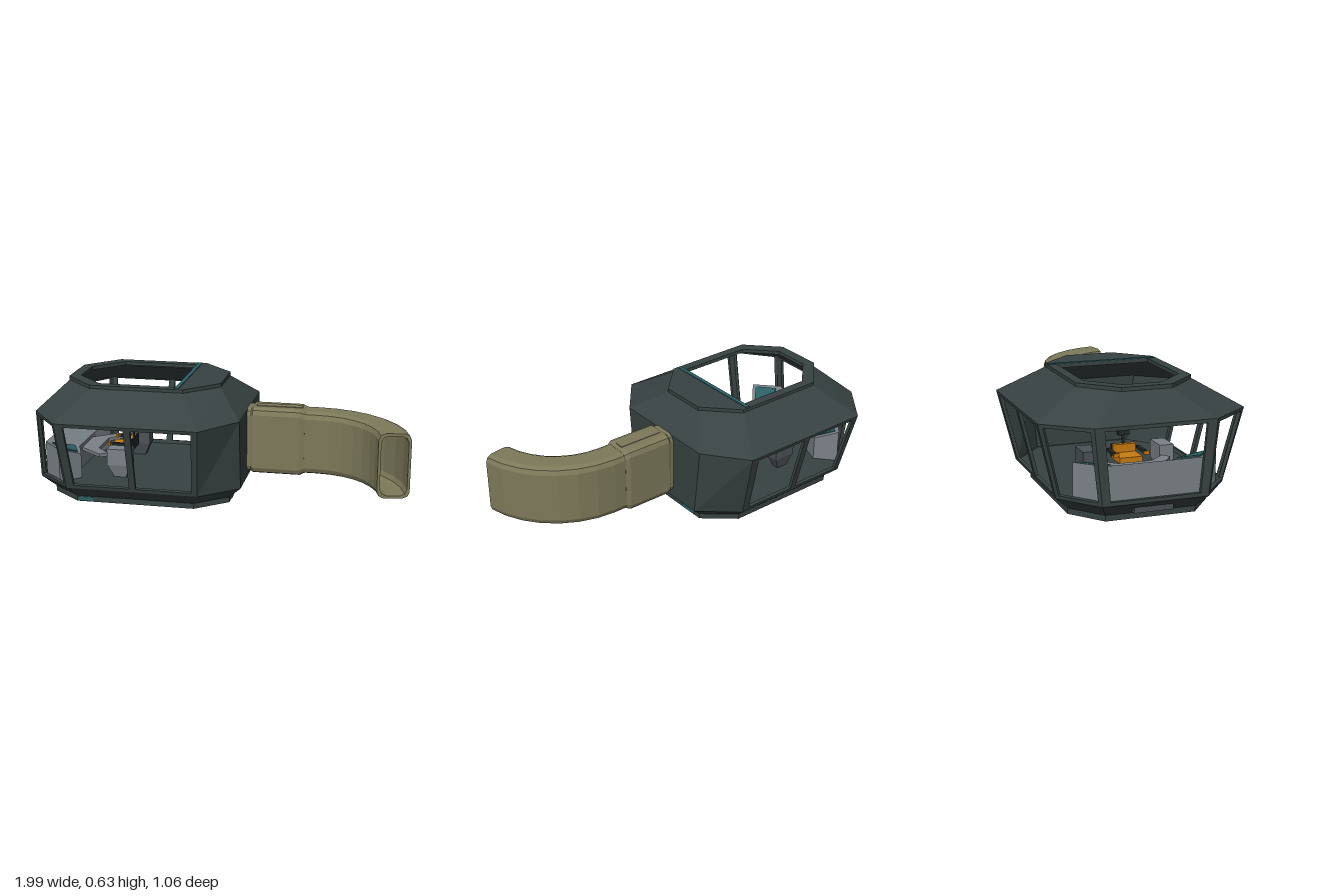
import * as THREE from 'three';

const paint = (name, color, extra = {}) => {
  const m = new THREE.MeshStandardMaterial({ color, flatShading: true, ...extra });
  m.name = name;
  return m;
};
const V = (x, y, z) => new THREE.Vector3(x, y, z);

// Flat triangles from a list of quads (corners counter-clockwise from outside)
function quads(list) {
  const pos = [];
  for (const [a, b, c, d] of list) for (const p of [a, b, c, a, c, d]) pos.push(p.x, p.y, p.z);
  const g = new THREE.BufferGeometry();
  g.setAttribute('position', new THREE.Float32BufferAttribute(pos, 3));
  g.computeVertexNormals();
  return g;
}

// Six-sided block between an outer quad p and an inner quad q
function block(p, q) {
  const list = [p, [q[3], q[2], q[1], q[0]]];
  for (let i = 0; i < 4; i++) {
    const j = (i + 1) % 4;
    list.push([p[i], q[i], q[j], p[j]]);
  }
  return list;
}

// Wall panel made of solid strips [s0, s1, t0, t1] over a four-cornered face
function panel([a, b, c, d], strips, depth) {
  const n = c.clone().sub(a).cross(d.clone().sub(b)).normalize().multiplyScalar(-depth);
  const at = (s, t) => a.clone().lerp(b, s).lerp(d.clone().lerp(c, s), t);
  return strips.flatMap(([s0, s1, t0, t1]) => {
    const p = [at(s0, t0), at(s1, t0), at(s1, t1), at(s0, t1)];
    return block(p, p.map(v => v.clone().add(n)));
  });
}

// Eight-sided ring of the cabin at one height
const CX = -0.4475;
const ring = (y, hx, hz, cx, cz) => [
  [-cx, hz], [cx, hz], [hx, cz], [hx, -cz], [cx, -hz], [-cx, -hz], [-hx, -cz], [-hx, cz],
].map(([x, z]) => V(CX + x, y, z));

// Horizontal slab from [x, z] outline with optional hole
function slab(outline, y, h, hole) {
  const pts = o => o.map(([x, z]) => new THREE.Vector2(x, -z));
  const s = new THREE.Shape(pts(outline));
  if (hole) s.holes.push(new THREE.Path(pts(hole)));
  return new THREE.ExtrudeGeometry(s, { depth: h, bevelEnabled: false }).rotateX(-Math.PI / 2).translate(0, y, 0);
}

export function createModel() {
  const model = new THREE.Group();
  const hull = paint('hull grey', 0x384242);
  const olive = paint('olive tunnel', 0x7d795a, { side: THREE.DoubleSide });
  const teal = paint('teal accent', 0x2a6064);
  const light = paint('light grey', 0x7a8187);
  const mid = paint('mid grey', 0x4b5257);
  const dark = paint('dark trim', 0x222728);
  const orange = paint('orange cushion', 0xc97a10);

  const add = (name, geo, mat, parent = model) => {
    const m = new THREE.Mesh(geo, mat);
    m.name = name;
    parent.add(m);
    return m;
  };
  const box = (name, mat, x, y, z, w, h, d, parent) =>
    add(name, new THREE.BoxGeometry(w, h, d).translate(x, y, z), mat, parent);

  // Cabin shell: lip, lower chamfer, windowed walls, roof slopes
  const rings = [
    ring(0, 0.485, 0.365, 0.32, 0.23),
    ring(0.03, 0.485, 0.365, 0.32, 0.23),
    ring(0.095, 0.5525, 0.435, 0.355, 0.27),
    ring(0.475, 0.5525, 0.53, 0.38, 0.31),
    ring(0.61, 0.415, 0.3, 0.25, 0.128),
  ];
  const names = ['baseLip', 'lowerChamfer', 'windowWalls', 'roofSlopes'];
  const solid = [[0, 1, 0, 1]];
  const rails = [[0, 1, 0, 0.05], [0, 1, 0.95, 1]];
  const twin = [...rails, [0, 0.06, 0.05, 0.95], [0.487, 0.535, 0.05, 0.95], [0.955, 1, 0.05, 0.95]];
  const single = [...rails, [0, 0.08, 0.05, 0.95], [0.92, 1, 0.05, 0.95]];
  const layout = [twin, solid, solid, solid, twin, single, single, single];
  names.forEach((name, r) => {
    const list = [];
    for (let i = 0; i < 8; i++) {
      const j = (i + 1) % 8;
      const face = [rings[r][i], rings[r][j], rings[r + 1][j], rings[r + 1][i]];
      list.push(...panel(face, r === 2 ? layout[i] : solid, 0.018));
    }
    add(name, quads(list), hull);
  });
  const flat = r => r.map(p => [p.x, p.z]);
  add('underside', slab(flat(rings[0]), 0, 0.01), hull);
  add('cabinFloor', slab(flat(ring(0, 0.54, 0.425, 0.35, 0.265)), 0.088, 0.012), hull);

  // Roof plate, open over the seat
  const opening = [[-0.81, 0.1], [-0.66, 0.25], [-0.245, 0.25], [-0.245, -0.25], [-0.66, -0.25], [-0.81, -0.1]];
  add('roofFrame', slab(flat(ring(0, 0.42, 0.3, 0.252, 0.13)), 0.608, 0.02, opening), hull);
  box('roofStripe', teal, -0.232, 0.629, 0, 0.022, 0.006, 0.585);
  for (const [z, d] of [[0.16, 0.045], [-0.135, 0.105]])
    box('lipMarker', teal, 0.039, 0.018, z, 0.007, 0.026, d);
  box('lipMarker', teal, -0.72, 0.016, 0.366, 0.08, 0.02, 0.006);

  // Control console wrapped along the nose, with a thin desk in front
  const stations = [[-0.86, 0.37, -0.77, 0.27], [-0.975, 0.25, -0.82, 0.14],
    [-0.975, -0.25, -0.82, -0.14], [-0.86, -0.37, -0.77, -0.27]]
    .map(([ox, oz, ix, iz]) => [V(ox, 0.1, oz), V(ix, 0.1, iz), V(ix, 0.235, iz), V(ox, 0.285, oz)]);
  const consoleQuads = [], screens = [];
  for (let i = 0; i < 3; i++) {
    const p = stations[i], q = stations[i + 1];
    consoleQuads.push(...block(p, q));
    // Screen lying on the sloping top
    const at = (s, t) => p[2].clone().lerp(q[2], s).lerp(p[3].clone().lerp(q[3], s), t);
    const low = [at(0.12, 0.15), at(0.88, 0.15), at(0.88, 0.85), at(0.12, 0.85)];
    const lift = low.map(v => v.clone().add(V(0.002, 0.007, 0)));
    if (i !== 1) screens.push(...block(lift, low));
  }
  add('console', quads(consoleQuads), light);
  add('consoleScreens', quads(screens), teal);
  add('consoleDesk', slab([[-0.69, 0.2], [-0.65, 0.17], [-0.725, 0.09], [-0.725, -0.09],
    [-0.65, -0.17], [-0.69, -0.2], [-0.82, -0.1], [-0.82, 0.1]], 0.197, 0.018), light);
  box('noseLamp', mid, -0.95, 0.06, 0, 0.04, 0.045, 0.2);

  // Pilot seat facing the console
  const seat = new THREE.Group();
  seat.name = 'seat';
  model.add(seat);
  add('seatPost', new THREE.CylinderGeometry(0.02, 0.035, 0.1, 8).translate(-0.6, 0.145, 0), dark, seat);
  box('cushion', orange, -0.61, 0.208, 0, 0.12, 0.03, 0.12, seat);
  box('seatBack', orange, -0.56, 0.235, 0, 0.02, 0.06, 0.12, seat);
  box('backShell', dark, -0.546, 0.232, 0, 0.012, 0.065, 0.125, seat);
  box('headrestPost', dark, -0.55, 0.285, 0, 0.01, 0.06, 0.012, seat);
  box('headrest', dark, -0.552, 0.332, 0, 0.024, 0.045, 0.06, seat);
  box('footrest', dark, -0.635, 0.138, 0, 0.07, 0.03, 0.1, seat);
  for (const s of [1, -1]) {
    box('armrest', dark, -0.6, 0.24, s * 0.08, 0.1, 0.014, 0.02, seat);
    box('armTab', orange, -0.668, 0.24, s * 0.08, 0.012, 0.018, 0.03, seat);
  }

  // Side cabinets: box on a tapered foot
  for (const s of [1, -1]) {
    const mat = s > 0 ? light : mid;
    box('sideCabinet', mat, -0.57, 0.215, s * 0.203, 0.13, 0.09, 0.075);
    add('cabinetFoot', new THREE.CylinderGeometry(0.7071, 0.35, 1, 4).rotateY(Math.PI / 4)
      .scale(0.13, 0.075, 0.075).translate(-0.57, 0.135, s * 0.203), mat);
  }

  // Hollow tunnel: lofted chamfered section along a path of [x, z, heading, scale]
  const section = (hw, hh, c) => {
    const q = [[hw, hh - c], [hw - c * 0.3, hh - c * 0.3], [hw - c, hh]];
    const top = [...q, ...q.map(([x, y]) => [-x, y]).reverse()];
    return [...top, ...top.map(([x, y]) => [-x, -y])];
  };
  const loft = (stops, wall) => {
    const hoop = ([x, z, a, k], inset) => section(0.083 + k - inset, 0.172 + k - inset, 0.035)
      .map(([w, y]) => V(x - w * Math.sin(a), 0.303 + y, z + w * Math.cos(a)));
    const hoops = [...stops.map(s => hoop(s, 0)), ...[...stops].reverse().map(s => hoop(s, wall))];
    const list = [];
    hoops.forEach((h, i) => {
      const g = hoops[(i + 1) % hoops.length];
      h.forEach((p, k) => {
        const m = (k + 1) % h.length;
        list.push([p, g[k], g[m], h[m]]);
      });
    });
    return quads(list);
  };
  const R = 0.436, end = 80 * Math.PI / 180;
  const bend = [[0.38, 0, 0, 0]];
  for (let i = 0; i <= 7; i++) {
    const a = end * i / 7;
    bend.push([0.48 + R * Math.sin(a), R * (1 - Math.cos(a)), a, 0]);
  }
  add('tunnelElbow', loft(bend, 0.014), olive);
  add('tunnelSleeve', loft([[0.09, 0, 0, 0.004], [0.125, 0, 0, 0.004], [0.135, 0, 0, 0.011],
    [0.39, 0, 0, 0.011], [0.415, 0, 0, 0.001]], 0.014), olive);
  // Low ridges on the sleeve's top and bottom
  for (const s of [1, -1])
    box('sleeveRidge', olive, 0.27, 0.303 + s * 0.183, 0, 0.25, 0.006, 0.05);

  return model;
}
